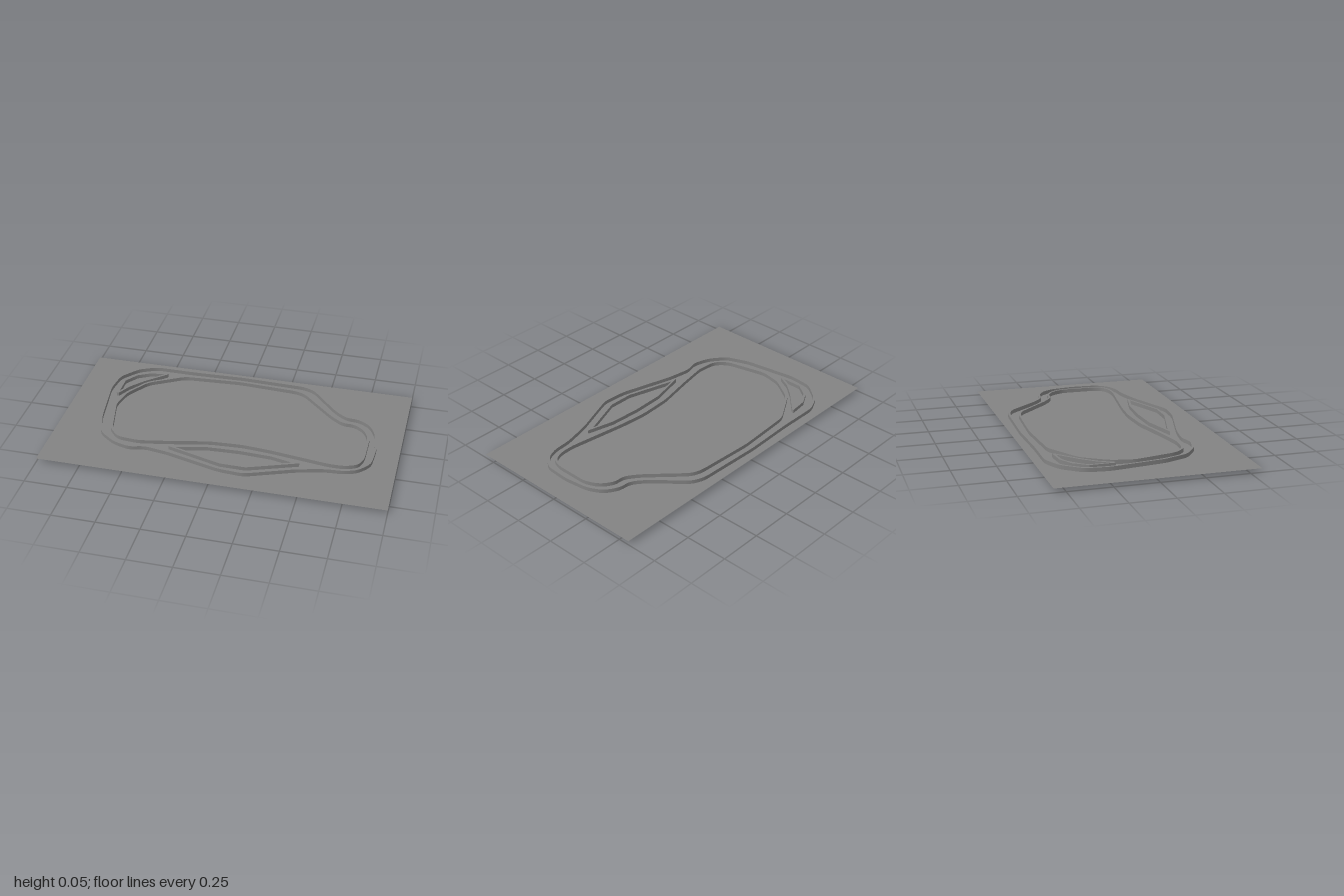
import * as THREE from 'three';
import { toCreasedNormals } from 'three/addons/utils/BufferGeometryUtils.js';

const HEIGHT = 0.046, THICKNESS = 0.013;

// Outer edges of the walls as [x, z] corners
const outerEdge = [
  [-0.6, -0.512], [-0.35, -0.51], [-0.05, -0.52], [0.35, -0.505], [0.42, -0.475], [0.58, -0.29],
  [0.65, -0.235], [0.73, -0.23], [0.805, -0.183], [0.848, -0.1], [0.867, 0.05], [0.858, 0.2],
  [0.795, 0.275], [0.72, 0.303], [0.62, 0.308], [0.46, 0.348], [0.18, 0.456], [0.03, 0.445],
  [-0.29, 0.357], [-0.43, 0.335], [-0.51, 0.36], [-0.615, 0.33], [-0.715, 0.255], [-0.77, 0.11],
  [-0.816, -0.21], [-0.8, -0.35], [-0.71, -0.46],
];
const innerEdge = [
  [-0.4, -0.447], [-0.05, -0.468], [0.31, -0.448], [0.37, -0.425], [0.565, -0.23], [0.64, -0.175],
  [0.71, -0.175], [0.778, -0.128], [0.815, -0.05], [0.814, 0.16], [0.79, 0.225], [0.72, 0.255],
  [0.63, 0.257], [0.27, 0.205], [0.11, 0.192], [-0.08, 0.203], [-0.29, 0.25], [-0.48, 0.287],
  [-0.61, 0.275], [-0.675, 0.205], [-0.732, -0.05], [-0.705, -0.18], [-0.61, -0.325],
];
const frontIslandEdge = [
  [-0.295, 0.302], [-0.08, 0.248], [0.11, 0.24], [0.3, 0.25], [0.465, 0.29], [0.18, 0.398], [0.03, 0.396],
];
const cornerIslandEdge = [
  [-0.51, -0.447], [-0.62, -0.435], [-0.7, -0.39], [-0.757, -0.31], [-0.757, -0.165], [-0.742, -0.165],
  [-0.7, -0.245], [-0.63, -0.325], [-0.51, -0.435],
];

// Moves a closed outline inwards, limiting the mitre at sharp tips
function inset(points, distance) {
  const n = points.length;
  const side = THREE.ShapeUtils.area(points) > 0 ? 1 : -1;
  return points.map((p, i) => {
    const a = p.clone().sub(points[(i + n - 1) % n]).normalize();
    const b = points[(i + 1) % n].clone().sub(p).normalize();
    const normal = new THREE.Vector2(-a.y - b.y, a.x + b.x).normalize().multiplyScalar(side);
    const cos = Math.max(0.3, (-a.y * normal.x + a.x * normal.y) * side);
    return p.clone().addScaledVector(normal, distance / cos);
  });
}

// Replaces each corner of a closed outline with a short curve
function roundCorners(points, reach) {
  const n = points.length;
  return points.flatMap((p, i) => {
    const towards = (q) => p.clone().lerp(q, Math.min(0.4, reach / p.distanceTo(q)));
    const start = towards(points[(i + n - 1) % n]);
    const end = towards(points[(i + 1) % n]);
    return new THREE.QuadraticBezierCurve(start, p, end).getPoints(4);
  });
}

export function createModel() {
  const group = new THREE.Group();
  const material = new THREE.MeshStandardMaterial({ color: 0x838383, side: THREE.DoubleSide });

  function add(name, geometry) {
    const mesh = new THREE.Mesh(geometry, material);
    mesh.name = name;
    group.add(mesh);
    return mesh;
  }

  // Closed wall of even thickness, rising above and below the sheet
  function addWall(name, edge, finish) {
    const points = edge.map(([x, z]) => new THREE.Vector2(x, -z));
    const shape = new THREE.Shape(finish(points));
    shape.holes.push(new THREE.Path(finish(inset(points, THICKNESS))));
    const wall = new THREE.ExtrudeGeometry(shape, { depth: HEIGHT, bevelEnabled: false });
    add(name, toCreasedNormals(wall.rotateX(-Math.PI / 2), 0.6));
  }

  // Thin ground sheet passing through the middle of the walls
  const sheet = new THREE.PlaneGeometry(2, 1.13).rotateX(-Math.PI / 2);
  add('groundSheet', sheet).position.y = HEIGHT / 2;

  // Track walls have softened bends, island walls keep their corners
  const soften = (points) => roundCorners(points, 0.035);
  const keep = (points) => points;
  addWall('outerTrackWall', outerEdge, soften);
  addWall('innerTrackWall', innerEdge, soften);
  addWall('frontIslandWall', frontIslandEdge, keep);
  addWall('cornerIslandWall', cornerIslandEdge, keep);
  return group;
}
